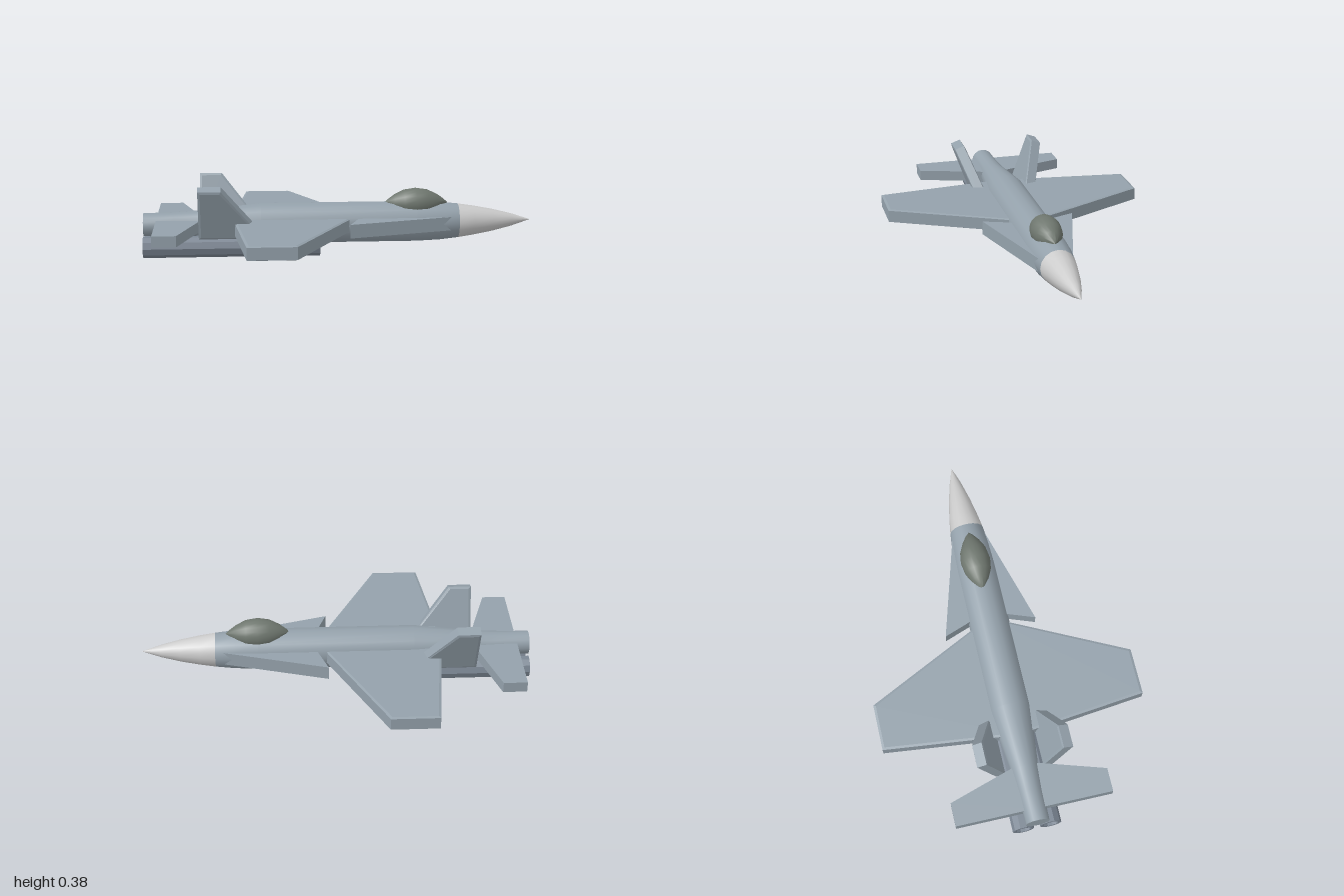
import * as THREE from 'three';
import { toCreasedNormals } from 'three/addons/utils/BufferGeometryUtils.js';

const AXIS_Y = 0.155;
const paint = (color) => new THREE.MeshStandardMaterial({ color });
const hull = paint(0x94a1ab);
const engineGrey = paint(0x7c8794);
const noseGrey = paint(0xc4c8c4);
const canopyTint = paint(0x6f776f);
const dark = paint(0x2a2c2e);

// Body of revolution along x; profile is a list of [x, radius]
function turned(profile, sides) {
  const points = profile.map(([x, r]) => new THREE.Vector2(r, x));
  const geometry = new THREE.LatheGeometry(points, sides);
  geometry.rotateZ(-Math.PI / 2);
  return toCreasedNormals(geometry, 0.6);
}

// Slab with a thin chamfer around its outline, centred on its thickness
function slab(outline, thickness, bevel = 0.004) {
  const shape = new THREE.Shape(outline.map(([a, b]) => new THREE.Vector2(a, b)));
  const depth = thickness - 2 * bevel;
  const geometry = new THREE.ExtrudeGeometry(shape, {
    depth, bevelEnabled: bevel > 0, bevelThickness: bevel,
    bevelSize: 0.012, bevelOffset: -0.012, bevelSegments: 1,
  });
  geometry.translate(0, 0, -depth / 2);
  return geometry;
}

// Flat surface in plan: outline is [x, distance from the centreline]
function planSurface(outline, side, thickness, bevel) {
  const geometry = slab(outline.map(([x, z]) => [x, z * side]), thickness, bevel);
  return geometry.rotateX(Math.PI / 2);
}

export function createModel() {
  const model = new THREE.Group();
  model.name = 'jetAircraft';

  function add(name, geometry, material, x, y, z) {
    const mesh = new THREE.Mesh(geometry, material);
    mesh.name = name;
    mesh.position.set(x, y, z);
    model.add(mesh);
    return mesh;
  }

  // Fuselage and nose cone
  add('fuselage', turned([
    [-1, 0], [-1, 0.06], [-0.85, 0.063], [-0.72, 0.07], [-0.4, 0.105],
    [0.4, 0.105], [0.52, 0.1], [0.62, 0.089], [0.62, 0],
  ], 16), hull, 0, AXIS_Y, 0);
  add('noseCone', turned([
    [0.62, 0.089], [0.7, 0.077], [0.8, 0.058], [0.9, 0.033], [1, 0],
  ], 16), noseGrey, 0, AXIS_Y, 0);

  // Lens-shaped canopy
  add('canopy', turned([
    [-0.165, 0], [-0.145, 0.02], [-0.11, 0.045], [-0.06, 0.069], [0, 0.078],
    [0.06, 0.069], [0.11, 0.045], [0.145, 0.02], [0.165, 0],
  ], 20), canopyTint, 0.4, 0.251, 0);

  for (const side of [1, -1]) {
    const label = side > 0 ? 'left' : 'right';

    // Main wing
    add(label + 'Wing', planSurface(
      [[0.1, 0], [-0.235, 0.675], [-0.475, 0.675], [-0.55, 0]], side, 0.07,
    ), hull, 0, 0.156, 0);

    // Swept strake beside the cockpit
    add(label + 'Strake', planSurface(
      [[0.6, 0.08], [0.045, 0.238], [0.11, 0.06]], side, 0.07, 0,
    ), hull, 0, 0.156, 0);

    // Tailplane
    add(label + 'Tailplane', planSurface(
      [[-0.69, 0], [-0.815, 0.4], [-0.935, 0.4], [-0.935, 0]], side, 0.055, 0,
    ), hull, 0, 0.157, 0);

    // Canted fin
    const fin = add(label + 'Fin', slab(
      [[-0.715, 0], [-0.39, 0], [-0.6, 0.277], [-0.715, 0.277]], 0.058,
    ), hull, 0, 0.115, side * 0.122);
    fin.rotation.x = side * THREE.MathUtils.degToRad(20);

    // Ten-sided engine with a hollow, dark nozzle
    add(label + 'Engine', turned([
      [-0.93, 0.04], [-1, 0.04], [-1, 0.055], [-0.1, 0.055], [-0.1, 0],
    ], 10), engineGrey, 0, 0.0525, side * 0.07);
    const nozzle = add(label + 'NozzleCore', new THREE.CircleGeometry(0.041, 10),
      dark, -0.96, 0.0525, side * 0.07);
    nozzle.rotation.y = -Math.PI / 2;
  }

  return model;
}
